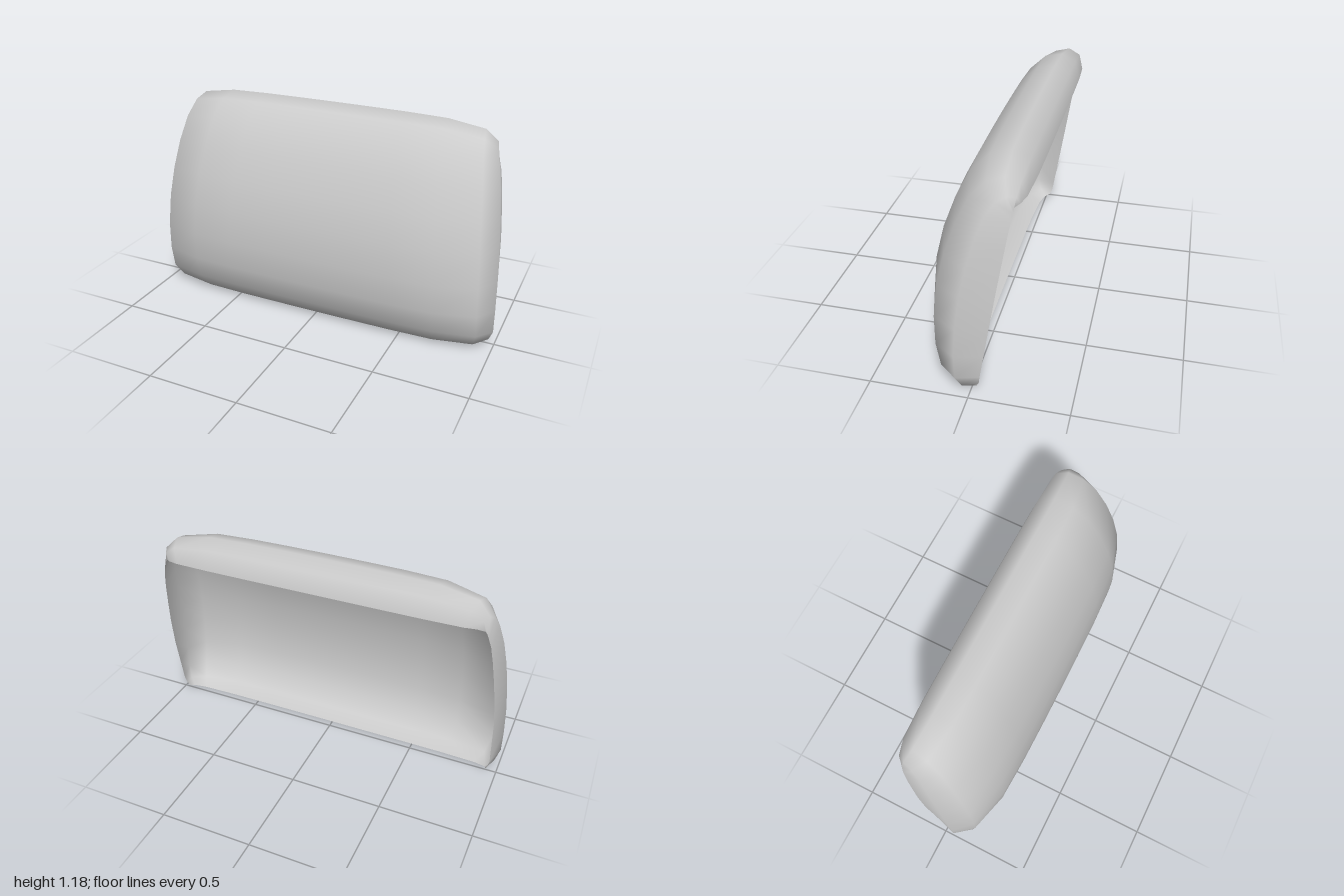
import * as THREE from 'three';

// Rows from bottom lip to top lip:
// [middle z, middle y, half width, rim x, rim y]
const ROWS = [
  [0.04, 0.01, 0.935, 0.945, 0.045],
  [0.14, 0.035, 0.975, 0.955, 0.075],
  [0.21, 0.13, 1.0, 0.965, 0.12],
  [0.245, 0.26, 1.0, 0.965, 0.25],
  [0.255, 0.42, 0.995, 0.965, 0.41],
  [0.24, 0.6, 0.982, 0.955, 0.58],
  [0.2, 0.77, 0.965, 0.94, 0.72],
  [0.14, 0.93, 0.945, 0.925, 0.84],
  [0.065, 1.075, 0.92, 0.91, 0.93],
  [-0.03, 1.165, 0.9, 0.895, 0.98],
  [-0.135, 1.19, 0.885, 0.885, 1.01],
  [-0.22, 1.15, 0.865, 0.875, 1.02],
  [-0.25, 1.045, 0.84, 0.87, 1.03],
];

// Columns from the middle to the side: [share of half width, blend towards the rim]
const HALF = [[0, 0], [0.24, 0.003], [0.47, 0.012], [0.71, 0.045], [0.93, 0.23], [1, 0.57], [1, 1]];
const COLUMNS = [
  ...HALF.slice(1).reverse().map(([s, w]) => [-s, w]),
  ...HALF,
];

// Straight side rim leaning backwards towards the top
const rimZ = (y) => (y < 0.05 ? -0.03 : -0.05 - 0.163 * (y - 0.11));

function shellGeometry() {
  const positions = [];
  const index = [];
  const n = COLUMNS.length;
  ROWS.forEach(([z, y, width, rimX, rimY], j) => {
    COLUMNS.forEach(([s, w], k) => {
      positions.push(
        s * (w === 1 ? rimX : width),
        THREE.MathUtils.lerp(y, rimY, w),
        THREE.MathUtils.lerp(z, rimZ(rimY), w),
      );
      if (j && k) {
        const d = j * n + k, c = d - 1, b = d - n, a = b - 1;
        index.push(a, b, d, a, d, c);
      }
    });
  });
  const geometry = new THREE.BufferGeometry();
  geometry.setAttribute('position', new THREE.Float32BufferAttribute(positions, 3));
  geometry.setIndex(index);
  geometry.computeVertexNormals();
  return geometry;
}

export function createModel() {
  const group = new THREE.Group();
  group.name = 'curvedShell';
  // Thin padded back shell, open at the rear
  const shell = new THREE.Mesh(
    shellGeometry(),
    new THREE.MeshStandardMaterial({ color: 0xcccccc, side: THREE.DoubleSide }),
  );
  shell.name = 'backrestShell';
  group.add(shell);
  return group;
}
